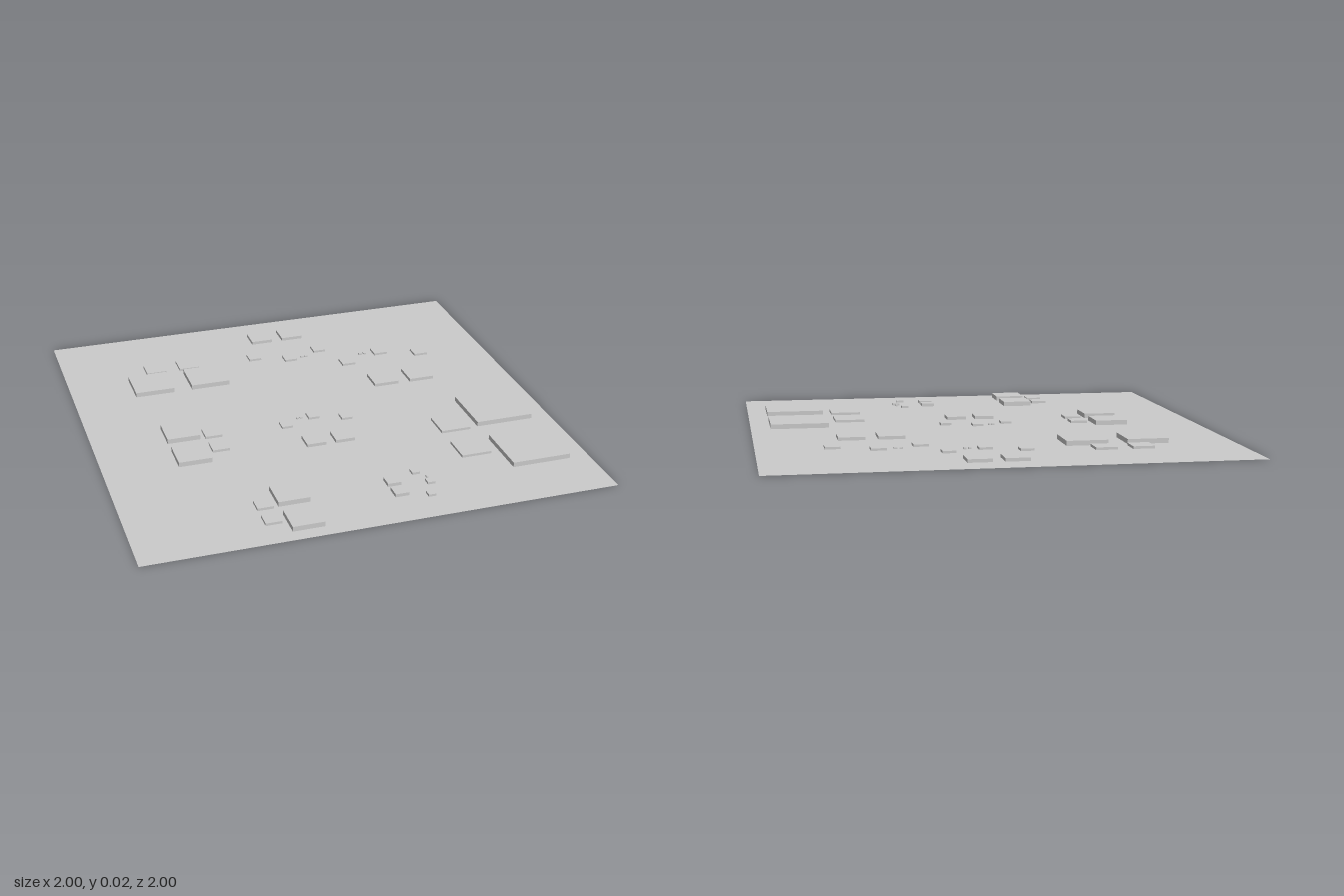
import * as THREE from 'three';

const material = new THREE.MeshStandardMaterial({ color: 0xcccccc, flatShading: true, side: THREE.DoubleSide });

// Square slab resting on the ground sheet
function slab(name, x, z, size, height) {
  const mesh = new THREE.Mesh(new THREE.BoxGeometry(size, height, size), material);
  mesh.name = name;
  mesh.position.set(x, height / 2, z);
  return mesh;
}

// Four-slab cluster: a large pair with a smaller pair ahead of it (ahead = -z)
function fourCluster(s) {
  const g = new THREE.Group();
  g.name = 'fourSlabCluster';
  for (const side of [-1, 1]) {
    g.add(slab('largeSlab', side * 0.5 * s, 0, 0.68 * s, 0.021));
    g.add(slab('smallSlab', side * 0.3 * s, -0.62 * s, 0.35 * s, 0.011));
  }
  return g;
}

// Spread cluster: a medium pair, a wide outer pair, a front slab and two studs
function spreadCluster(s) {
  const g = new THREE.Group();
  g.name = 'spreadSlabCluster';
  for (const side of [-1, 1]) {
    g.add(slab('mediumSlab', side * 0.086 * s, 0, 0.115 * s, 0.014));
    g.add(slab('outerSlab', side * 0.183 * s, -0.23 * s, 0.065 * s, 0.01));
  }
  g.add(slab('frontSlab', 0, -0.295 * s, 0.065 * s, 0.01));
  for (const x of [-0.095, -0.072]) g.add(slab('stud', x * s, -0.295 * s, 0.014 * s, 0.007));
  return g;
}

export function createModel() {
  const model = new THREE.Group();
  model.name = 'slabField';

  // Ground sheet
  const ground = new THREE.Mesh(new THREE.PlaneGeometry(2, 2).rotateX(-Math.PI / 2), material);
  ground.name = 'groundSheet';
  model.add(ground);

  // Builder, scale, x, z, quarter turns
  const clusters = [
    [fourCluster, 0.262, -0.5, -0.47, 0],
    [fourCluster, 0.381, 0.783, 0.413, 1],
    [fourCluster, 0.212, -0.61, 0.13, -1],
    [fourCluster, 0.196, -0.31, 0.773, 1],
    [spreadCluster, 1, 0.5, -0.21, 0],
    [spreadCluster, 0.755, -0.01, 0.265, 0],
    [spreadCluster, 0.88, 0.065, -0.82, 2],
    [spreadCluster, 0.51, 0.125, 0.742, -1],
  ];
  for (const [build, scale, x, z, turns] of clusters) {
    const cluster = build(scale);
    cluster.position.set(x, 0, z);
    cluster.rotation.y = turns * Math.PI / 2;
    model.add(cluster);
  }
  return model;
}
